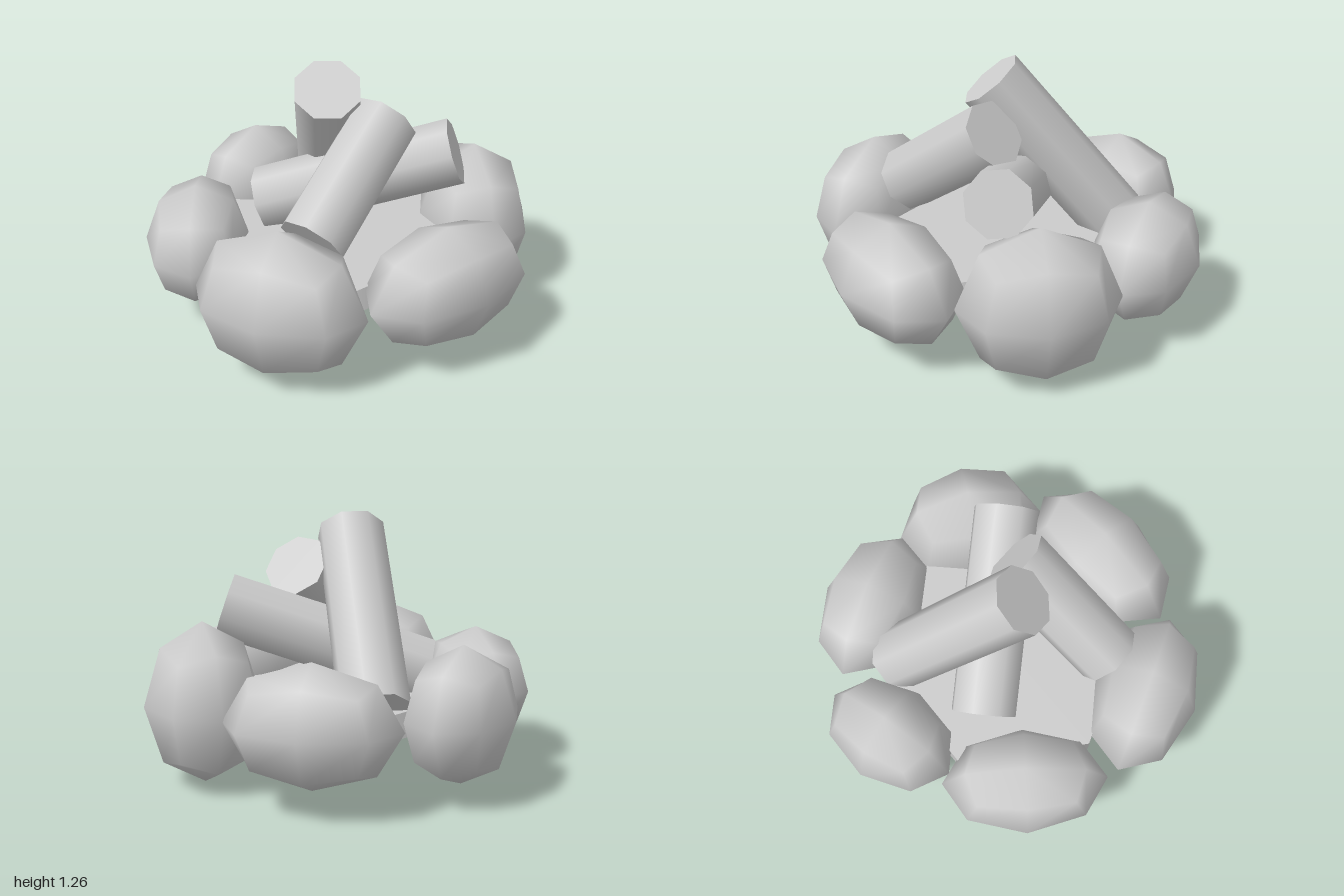
import * as THREE from 'three';
import { mergeVertices } from 'three/addons/utils/BufferGeometryUtils.js';

// Coarse rounded boulder: a divided cube pushed out to a unit sphere
function boulderGeometry() {
  let g = new THREE.BoxGeometry(2, 2, 2, 2, 2, 2);
  g.deleteAttribute('uv');
  g.deleteAttribute('normal');
  g = mergeVertices(g);
  const p = g.attributes.position;
  const v = new THREE.Vector3();
  for (let i = 0; i < p.count; i++) {
    v.fromBufferAttribute(p, i).normalize();
    p.setXYZ(i, v.x, v.y, v.z);
  }
  g.computeVertexNormals();
  return g;
}

export function createModel() {
  const model = new THREE.Group();
  const grey = new THREE.MeshStandardMaterial({ color: 0xcccccc });
  grey.name = 'plain grey';

  // Ring of stones: x, z, half width, half height, half length, turn in degrees
  const stones = [
    ['frontStone', -0.03, 0.73, 0.265, 0.36, 0.42, 90],
    ['backStone', -0.07, -0.735, 0.265, 0.285, 0.405, 90],
    ['frontRightStone', -0.66, 0.32, 0.257, 0.28, 0.407, 23],
    ['frontLeftStone', 0.605, 0.28, 0.27, 0.28, 0.46, -29],
    ['backLeftStone', 0.53, -0.43, 0.28, 0.385, 0.383, 33],
    ['backRightStone', -0.675, -0.385, 0.25, 0.32, 0.355, -14],
  ];
  const boulder = boulderGeometry();
  for (const [name, x, z, w, h, l, turn] of stones) {
    const stone = new THREE.Mesh(boulder, grey);
    stone.name = name;
    stone.position.set(x, 0.39, z);
    stone.scale.set(w, h, l);
    stone.rotation.y = THREE.MathUtils.degToRad(turn);
    model.add(stone);
  }

  // Six-sided ash bed inside the ring
  const bed = new THREE.Mesh(new THREE.CylinderGeometry(0.64, 0.64, 0.12, 6), grey);
  bed.name = 'ashBed';
  bed.position.set(-0.06, 0.35, 0);
  bed.rotation.y = Math.PI / 6;
  model.add(bed);

  // Three leaning logs: low end, high end
  const logs = [
    ['tallLog', [-0.3, 0.42, -0.5], [-0.06, 1.165, 0.08]],
    ['frontLog', [0.03, 0.59, 0.5], [0.18, 1.0, -0.05]],
    ['crossLog', [-0.44, 0.5, 0.02], [0.49, 0.82, -0.21]],
  ];
  const up = new THREE.Vector3(0, 1, 0);
  for (const [name, a, b] of logs) {
    const low = new THREE.Vector3(...a);
    const high = new THREE.Vector3(...b);
    const axis = high.clone().sub(low);
    const log = new THREE.Mesh(new THREE.CylinderGeometry(0.165, 0.165, axis.length(), 8), grey);
    log.name = name;
    log.position.copy(low).add(high).multiplyScalar(0.5);
    log.quaternion.setFromUnitVectors(up, axis.normalize());
    model.add(log);
  }
  return model;
}
